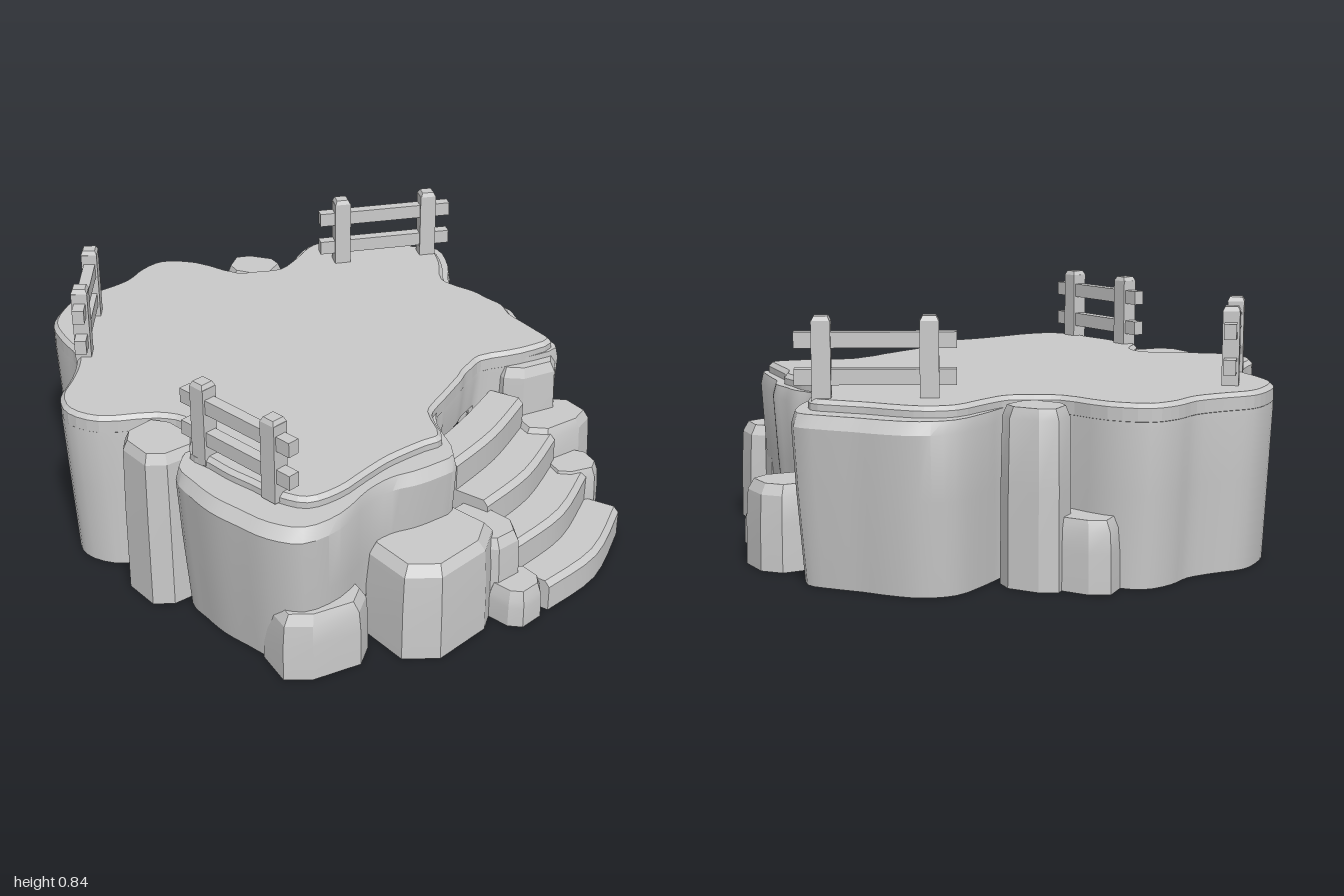
import * as THREE from 'three';
import { toCreasedNormals } from 'three/addons/utils/BufferGeometryUtils.js';

const stone = new THREE.MeshStandardMaterial({ color: 0xcacaca, side: THREE.DoubleSide });
stone.name = 'grey stone';

// Floor radius every 6 degrees, from +x toward +z
const floorRadii = [
  0.49, 0.52, 0.66, 0.67, 0.69, 0.725, 0.79, 0.88, 0.94, 0.92, 0.875, 0.845, 0.815, 0.8, 0.7,
  0.68, 0.73, 0.9, 0.97, 0.97, 0.925, 0.9, 0.905, 0.97, 1.035, 1.053, 1.05, 1, 0.975, 0.998,
  0.995, 0.9, 0.735, 0.71, 0.7, 0.77, 0.885, 0.92, 0.915, 0.905, 0.915, 0.925, 0.82, 0.7, 0.69,
  0.7, 0.7, 0.71, 0.695, 0.71, 0.735, 0.76, 0.64, 0.5, 0.475, 0.46, 0.46, 0.46, 0.465, 0.475,
];

// Ledges where the cliff stands out past the floor: start angle, end angle, width
const ledges = [[5, 34, 0.1], [34, 81, 0.14], [207, 261, 0.09], [261, 312, 0.04]];
const ledgeWidth = (deg) => {
  const ledge = ledges.find(([a, b]) => deg > a && deg < b);
  return ledge ? ledge[2] * Math.sin(((deg - ledge[0]) / (ledge[1] - ledge[0])) * Math.PI) ** 0.4 : 0;
};

// Smooth closed ring at height y, from the floor radii plus an extra width
function outline(extra, y = 0) {
  const curve = new THREE.CatmullRomCurve3(floorRadii.map((radius, i) => {
    const a = (i * Math.PI) / 30;
    const r = radius + extra(i * 6);
    return new THREE.Vector3(r * Math.cos(a), y, r * Math.sin(a));
  }), true, 'centripetal');
  return curve.getPoints(180).slice(0, 180);
}

// The cliff opens below 0.4 where the stairs close it
const cliffRing = (extra, y) => outline(extra, y).map((p, k) => {
  if (k > 159 && k < 178) p.y = Math.max(y, 0.4);
  return p;
});

// Joins rings of equal length into a wall, with a cap on top and an open bottom
function loft(rings, crease) {
  const n = rings[0].length;
  const index = [];
  for (let r = 0; r < rings.length - 1; r++) {
    for (let i = 0; i < n; i++) {
      const a = r * n + i;
      const b = r * n + ((i + 1) % n);
      index.push(a, a + n, b, b, a + n, b + n);
    }
  }
  const top = (rings.length - 1) * n;
  const flat = rings.at(-1).map((p) => new THREE.Vector2(p.x, p.z));
  for (const [a, b, c] of THREE.ShapeUtils.triangulateShape(flat, [])) {
    const u = flat[b].clone().sub(flat[a]);
    const v = flat[c].clone().sub(flat[a]);
    if (u.cross(v) < 0) index.push(top + a, top + b, top + c);
    else index.push(top + a, top + c, top + b);
  }
  const g = new THREE.BufferGeometry().setFromPoints(rings.flat());
  g.setIndex(index);
  return toCreasedNormals(g, crease);
}

// Raised floor slab with a small bevel kept inside its outline
function floorSlab(y0, y1, bevel) {
  const shape = new THREE.Shape(outline(() => 0).map((p) => new THREE.Vector2(p.x, -p.z)));
  const g = new THREE.ExtrudeGeometry(shape, {
    depth: y1 - y0 - 2 * bevel, bevelThickness: bevel, bevelSize: bevel, bevelOffset: -bevel, bevelSegments: 1,
  });
  return g.rotateX(-Math.PI / 2).translate(0, y0 + bevel, 0);
}

// Blocky eight-sided rock with slightly uneven corners
function rock(halfX, halfZ, height) {
  const ring = (scale, y) => Array.from({ length: 8 }, (_, k) => {
    const a = ((k + 0.5) * Math.PI) / 4;
    const wobble = scale * (1 + 0.05 * Math.sin(k * 2.3 + height * 20));
    const blocky = (v) => Math.sign(v) * Math.abs(v / Math.cos(Math.PI / 8)) ** 0.7 * wobble;
    return new THREE.Vector3(halfX * blocky(Math.cos(a)), y, halfZ * blocky(Math.sin(a)));
  });
  return loft([ring(1, 0), ring(0.99, height * 0.55), ring(0.95, height - 0.035), ring(0.82, height)], 0.35);
}

// Arc number i of the stairs, fanning outward
function stairArc(i) {
  const back = new THREE.Vector2(0.38 + 0.12 * i, -0.38 - 0.04 * i);
  const front = new THREE.Vector2(0.51 + 0.12 * i, 0.07 - 0.025 * i);
  const middle = back.clone().lerp(front, 0.5);
  middle.x += 0.01 + 0.01 * i;
  return new THREE.SplineCurve([back, middle, front]).getPoints(8);
}

// Step made of a tread, a bevelled riser and two ends, open underneath
function step(inner, outer, height) {
  const section = (a, b) => {
    const edge = b.clone().lerp(a, 0.14);
    return [[a, height], [edge, height], [b, height - 0.02], [b, 0]].map(([p, y]) => new THREE.Vector3(p.x, y, p.y));
  };
  const rows = inner.map((p, j) => section(p, outer[j]));
  rows.unshift(section(inner[0], inner[0]));
  rows.push(section(inner.at(-1), inner.at(-1)));
  const index = [];
  for (let j = 0; j < rows.length - 1; j++) {
    for (let k = 0; k < 3; k++) {
      const a = j * 4 + k;
      index.push(a, a + 4, a + 1, a + 1, a + 4, a + 5);
    }
  }
  const g = new THREE.BufferGeometry().setFromPoints(rows.flat());
  g.setIndex(index);
  return toCreasedNormals(g, 0.4);
}

export function createModel() {
  const model = new THREE.Group();
  model.name = 'rockPlatform';
  const add = (name, geometry, parent = model) => {
    const mesh = new THREE.Mesh(geometry, stone);
    mesh.name = name;
    parent.add(mesh);
    return mesh;
  };

  // Hollow cliff wall with a ledge, and the raised floor
  add('cliffWall', loft([
    cliffRing((d) => ledgeWidth(d) * 0.65 - 0.025, 0),
    cliffRing((d) => ledgeWidth(d) * 0.9 - 0.01, 0.3),
    cliffRing(ledgeWidth, 0.51),
    cliffRing((d) => ledgeWidth(d) * 0.8 - 0.003, 0.55),
  ], 0.5));
  add('floor', floorSlab(0.515, 0.585, 0.014));

  // Pillars and boulders: name, centre x, centre z, half width, half depth, height, turn
  const rocks = [
    ['frontPillar', 0.02, 0.795, 0.12, 0.105, 0.57, 0],
    ['leftPillar', -0.75, -0.255, 0.1, 0.085, 0.57, 0.5],
    ['leftBoulder', -0.84, -0.14, 0.115, 0.085, 0.23, 0.5],
    ['backBoulder', -0.12, -0.79, 0.105, 0.14, 0.285, -0.1],
    ['backMiddleBoulder', 0.14, -0.73, 0.15, 0.1, 0.13, -0.1],
    ['backPillar', 0.385, -0.53, 0.11, 0.12, 0.53, -0.2],
    ['backRightBoulder', 0.525, -0.53, 0.1, 0.14, 0.35, -0.2],
    ['stairBackRock', 0.67, -0.5, 0.075, 0.09, 0.23, -0.3],
    ['sideBoulder', 0.755, 0.3, 0.17, 0.2, 0.34, 0],
    ['stairFrontRock', 0.77, 0.07, 0.13, 0.085, 0.29, 0],
    ['stairCornerRock', 0.92, 0.055, 0.075, 0.08, 0.13, 0],
    ['frontRightBoulder', 0.64, 0.675, 0.12, 0.155, 0.235, -0.2],
  ];
  for (const [name, x, z, halfX, halfZ, height, turn] of rocks) {
    const mesh = add(name, rock(halfX, halfZ, height));
    mesh.position.set(x, 0, z);
    mesh.rotation.y = turn;
  }

  // Curved stairs
  const stairs = new THREE.Group();
  stairs.name = 'stairs';
  model.add(stairs);
  for (let i = 0; i < 4; i++) add('step', step(stairArc(i), stairArc(i + 1), 0.44 - 0.11 * i), stairs);

  // Fences: two posts and two rails, placed by the post centres
  const fence = (name, x0, z0, x1, z1) => {
    const g = new THREE.Group();
    g.name = name;
    const length = Math.hypot(x1 - x0, z1 - z0);
    g.position.set((x0 + x1) / 2, 0, (z0 + z1) / 2);
    g.rotation.y = -Math.atan2(z1 - z0, x1 - x0);
    model.add(g);
    for (const x of [-length / 2, length / 2]) {
      add('post', new THREE.BoxGeometry(0.06, 0.27, 0.055), g).position.set(x, 0.69, 0);
      const cap = new THREE.CylinderGeometry(0.03, 0.04, 0.015, 4).rotateY(Math.PI / 4).toNonIndexed();
      cap.computeVertexNormals();
      add('postCap', cap, g).position.set(x, 0.8325, 0);
    }
    for (const y of [0.65, 0.765]) {
      add('rail', new THREE.BoxGeometry(length + 0.17, 0.05, 0.04), g).position.set(0, y, 0);
    }
  };
  fence('frontRightFence', 0.21, 0.755, 0.52, 0.735);
  fence('frontLeftFence', -0.81, 0.45, -0.58, 0.655);
  fence('backLeftFence', -0.53, -0.51, -0.365, -0.8);

  return model;
}
